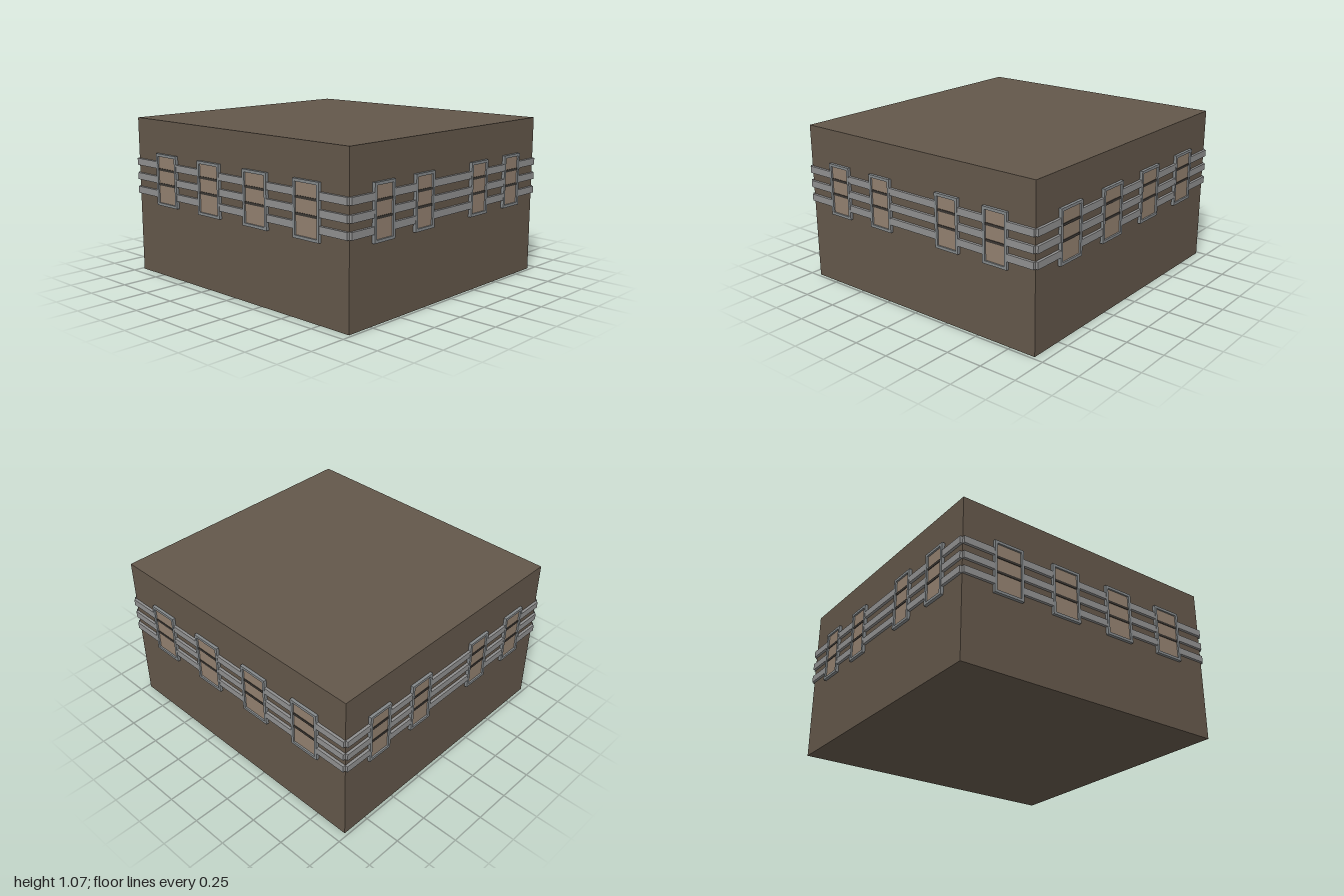
import * as THREE from 'three';

const material = (name, color) => new THREE.MeshStandardMaterial({ name, color });

export function createModel() {
  const wallMat = material('brown wall', 0x63574a);
  const bandMat = material('light grey band', 0x909090);
  const frameMat = material('grey frame', 0x84888a);
  const paneMat = material('tan pane', 0x92806f);
  const barMat = material('dark bar', 0x3a3632);

  const W = 0.93, D = 0.98, H = 1.07;      // half width, half depth, height
  const Y0 = 0.495, Y1 = 0.847;            // window bottom and top
  const OUT = 0.02, RIM = 0.018;           // frame projection and rim width

  const model = new THREE.Group();
  model.name = 'building';

  function box(parent, name, mat, x0, x1, y0, y1, z0, z1) {
    const mesh = new THREE.Mesh(new THREE.BoxGeometry(x1 - x0, y1 - y0, z1 - z0), mat);
    mesh.position.set((x0 + x1) / 2, (y0 + y1) / 2, (z0 + z1) / 2);
    mesh.name = name;
    parent.add(mesh);
  }

  // Framed window: rim, recessed pane and two dark bars
  function addWindow(side, cx, half) {
    const g = new THREE.Group();
    g.name = 'window';
    g.position.x = cx;
    side.add(g);
    const a = half - RIM;
    const shape = new THREE.Shape();
    shape.moveTo(-half, Y0).lineTo(half, Y0).lineTo(half, Y1).lineTo(-half, Y1).closePath();
    const hole = new THREE.Path();
    hole.moveTo(-a, Y0 + RIM).lineTo(-a, Y1 - RIM).lineTo(a, Y1 - RIM).lineTo(a, Y0 + RIM).closePath();
    shape.holes.push(hole);
    const frame = new THREE.Mesh(
      new THREE.ExtrudeGeometry(shape, { depth: OUT, bevelEnabled: false }), frameMat);
    frame.name = 'windowFrame';
    g.add(frame);
    box(g, 'windowPane', paneMat, -a, a, Y0 + RIM, Y1 - RIM, 0, 0.009);
    for (const y of [0.64, 0.74]) box(g, 'windowBar', barMat, -a, a, y - 0.008, y + 0.008, 0.009, 0.013);
  }

  // One wall's decoration, laid out facing +z and then turned into place
  function addSide(name, angle, distance, halfLength, centers, half) {
    const side = new THREE.Group();
    side.name = name;
    side.rotation.y = angle;
    side.position.set(Math.sin(angle) * distance, 0, Math.cos(angle) * distance);
    model.add(side);
    for (const c of centers) addWindow(side, c, half);
    // Three bands running between the windows
    const stops = [-halfLength, ...centers.flatMap(c => [c - half, c + half]), halfLength];
    for (const y of [0.572, 0.668, 0.768]) {
      for (let i = 0; i < stops.length; i += 2) {
        box(side, 'band', bandMat, stops[i], stops[i + 1], y - 0.023, y + 0.023, 0, 0.018);
      }
    }
  }

  // Main block
  box(model, 'mainBlock', wallMat, -W, W, 0, H, -D, D);

  // Front and back, then the two long sides
  for (const [name, angle] of [['frontSide', 0], ['backSide', Math.PI]]) {
    addSide(name, angle, D, W, [-0.65, -0.28, 0.28, 0.65], 0.09);
  }
  for (const [name, angle] of [['leftSide', Math.PI / 2], ['rightSide', -Math.PI / 2]]) {
    addSide(name, angle, W, D, [-0.657, -0.219, 0.219, 0.657], 0.107);
  }
  return model;
}
